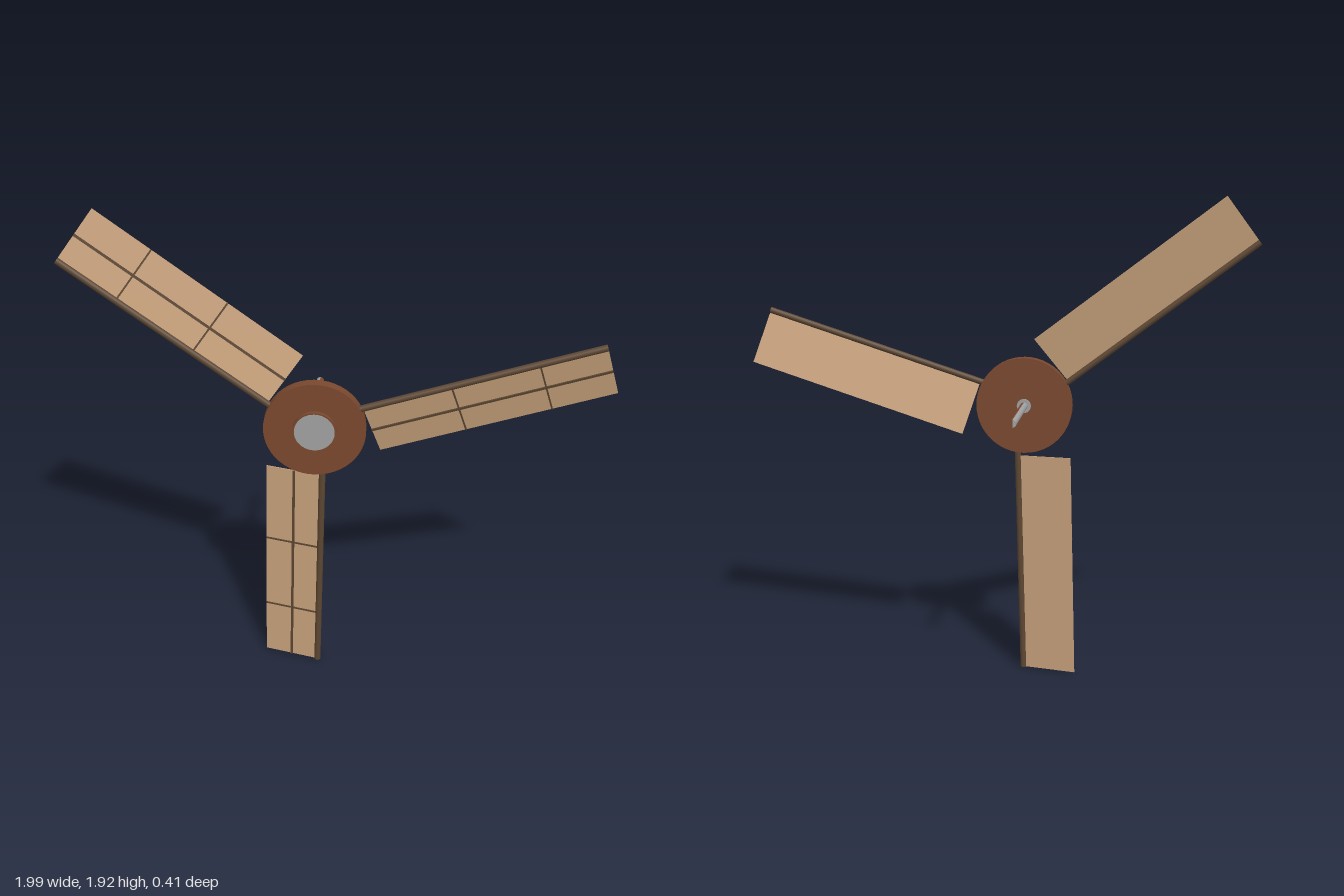
import * as THREE from 'three';

const HUB = new THREE.Vector3(-0.105, 1.105, 0);
const BLADE_LENGTH = 0.897;
const BLADE_WIDTH = 0.221; // measured along the pitched panel

const mat = (color) => new THREE.MeshStandardMaterial({ color });
const tan = mat(0xc9a27c);
const darkWood = mat(0x5c4632);
const hubBrown = mat(0x7a482e);
const steel = mat(0xa0a0a0);

function add(parent, name, geometry, material, x = 0, y = 0, z = 0) {
  const mesh = new THREE.Mesh(geometry, material);
  mesh.name = name;
  mesh.position.set(x, y, z);
  parent.add(mesh);
  return mesh;
}

// Cylinder lying along z between two depths
function zCylinder(radius, z0, z1, segments = 40, start = 0, sweep = Math.PI * 2) {
  return new THREE.CylinderGeometry(radius, radius, z1 - z0, segments, 1, false, start, sweep)
    .rotateX(Math.PI / 2)
    .translate(0, 0, (z0 + z1) / 2);
}

// One blade: local x runs out along the spar, the panel hangs towards -y, front is +z
function createBlade({ name, tip, angle, slope }) {
  const blade = new THREE.Group();
  blade.name = name;
  const L = BLADE_LENGTH, W = BLADE_WIDTH;

  const sparLength = L + 0.035;
  const spar = new THREE.CylinderGeometry(0.0125, 0.0125, sparLength, 14).rotateZ(Math.PI / 2);
  add(blade, 'spar', spar, darkWood, L - sparLength / 2);

  add(blade, 'sailPanel', new THREE.BoxGeometry(L, W, 0.004), tan, L / 2, -W / 2, 0);

  // Lattice on the front of the panel
  add(blade, 'longBatten', new THREE.BoxGeometry(L, 0.009, 0.006), darkWood, L / 2, -W / 2, 0.004);
  for (const t of [0.37, 0.73]) {
    add(blade, 'crossBatten', new THREE.BoxGeometry(0.006, W, 0.005), darkWood, L * t, -W / 2, 0.0035);
  }

  // Orient along the spar, then pitch the panel backwards
  const a = THREE.MathUtils.degToRad(angle);
  const out = new THREE.Vector3(Math.cos(a), Math.sin(a), slope).normalize();
  const up = new THREE.Vector3(-Math.sin(a), Math.cos(a), 0.245);
  const front = new THREE.Vector3().crossVectors(out, up).normalize();
  up.crossVectors(front, out);
  blade.quaternion.setFromRotationMatrix(new THREE.Matrix4().makeBasis(out, up, front));
  blade.position.set(...tip).addScaledVector(out, -L);
  return blade;
}

export function createModel() {
  const rotor = new THREE.Group();
  rotor.name = 'windmillRotor';

  // Hub with raised boss and metal cap
  const hub = new THREE.Group();
  hub.name = 'hub';
  hub.position.copy(HUB);
  rotor.add(hub);
  add(hub, 'hubDisc', zCylinder(0.19, 0.148, 0.188, 48), hubBrown);
  add(hub, 'hubBoss', zCylinder(0.081, 0.18, 0.202), hubBrown);
  add(hub, 'hubCap', zCylinder(0.075, 0.19, 0.204), steel);

  // Shaft: one half wood, one half metal, with a collar at the hub
  add(hub, 'shaftWoodHalf', zCylinder(0.0145, -0.21, 0.155, 12, 0, Math.PI), hubBrown);
  add(hub, 'shaftMetalHalf', zCylinder(0.0145, -0.21, 0.155, 12, Math.PI, Math.PI), steel);
  add(hub, 'shaftCollar', zCylinder(0.028, 0.143, 0.155, 24), steel);

  // Three slightly uneven blades
  const blades = [
    { name: 'leftBlade', tip: [0.928, 1.463, 0.19], angle: 17.4, slope: 0.018 },
    { name: 'rightBlade', tip: [-0.991, 1.749, 0.164], angle: 142.6, slope: -0.003 },
    { name: 'lowerBlade', tip: [-0.108, 0.003, 0.164], angle: 268.2, slope: -0.005 },
  ];
  for (const b of blades) rotor.add(createBlade(b));

  return rotor;
}
